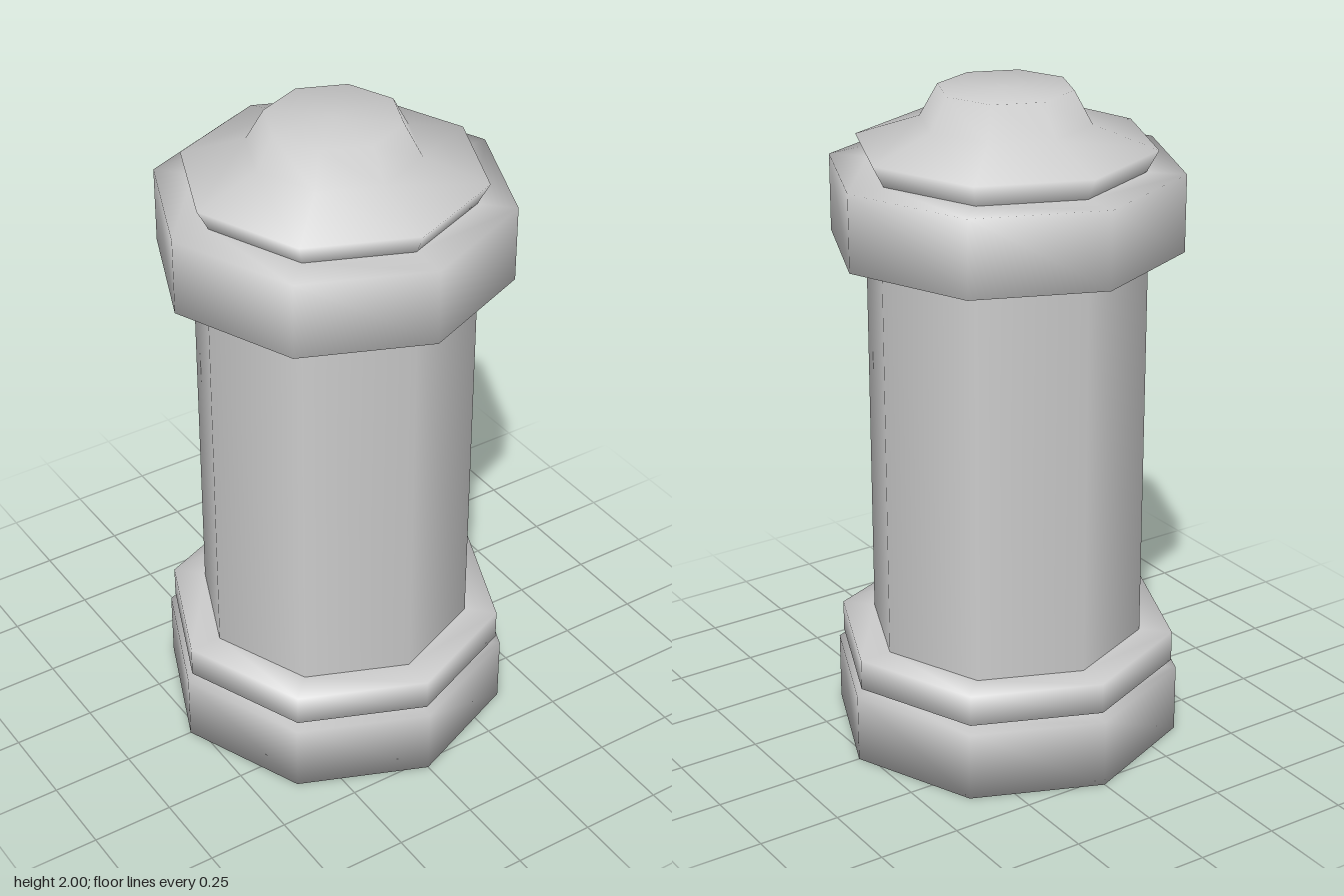
import * as THREE from 'three';

const SIDES = 8;

export function createModel() {
  const group = new THREE.Group();
  const material = new THREE.MeshStandardMaterial({ color: 0xcccccc });

  // Eight-sided turned part from [radius, height] pairs, bottom to top
  const turned = (name, profile) => {
    const points = profile.map(([r, y]) => new THREE.Vector2(r, y));
    const mesh = new THREE.Mesh(new THREE.LatheGeometry(points, SIDES), material);
    mesh.name = name;
    group.add(mesh);
  };

  // Foot slab, closed underneath
  turned('base', [[0, 0], [0.53, 0], [0.53, 0.21], [0.46, 0.21]]);

  // Recessed neck between foot and ring
  turned('baseGroove', [[0.46, 0.21], [0.46, 0.235]]);

  // Thin ring above the groove
  turned('baseRing', [[0.46, 0.235], [0.515, 0.235], [0.515, 0.33], [0.415, 0.33]]);

  // Main shaft
  turned('shaft', [[0.415, 0.33], [0.415, 1.545]]);

  // Wide collar under the cap
  turned('collar', [[0.415, 1.545], [0.52, 1.545], [0.52, 1.775], [0.405, 1.775]]);

  // Cap with undercut rim, sloped shoulder and flat-topped knob
  turned('cap', [[0.405, 1.775], [0.44, 1.84], [0.25, 1.905], [0.197, 2], [0, 2]]);

  return group;
}
